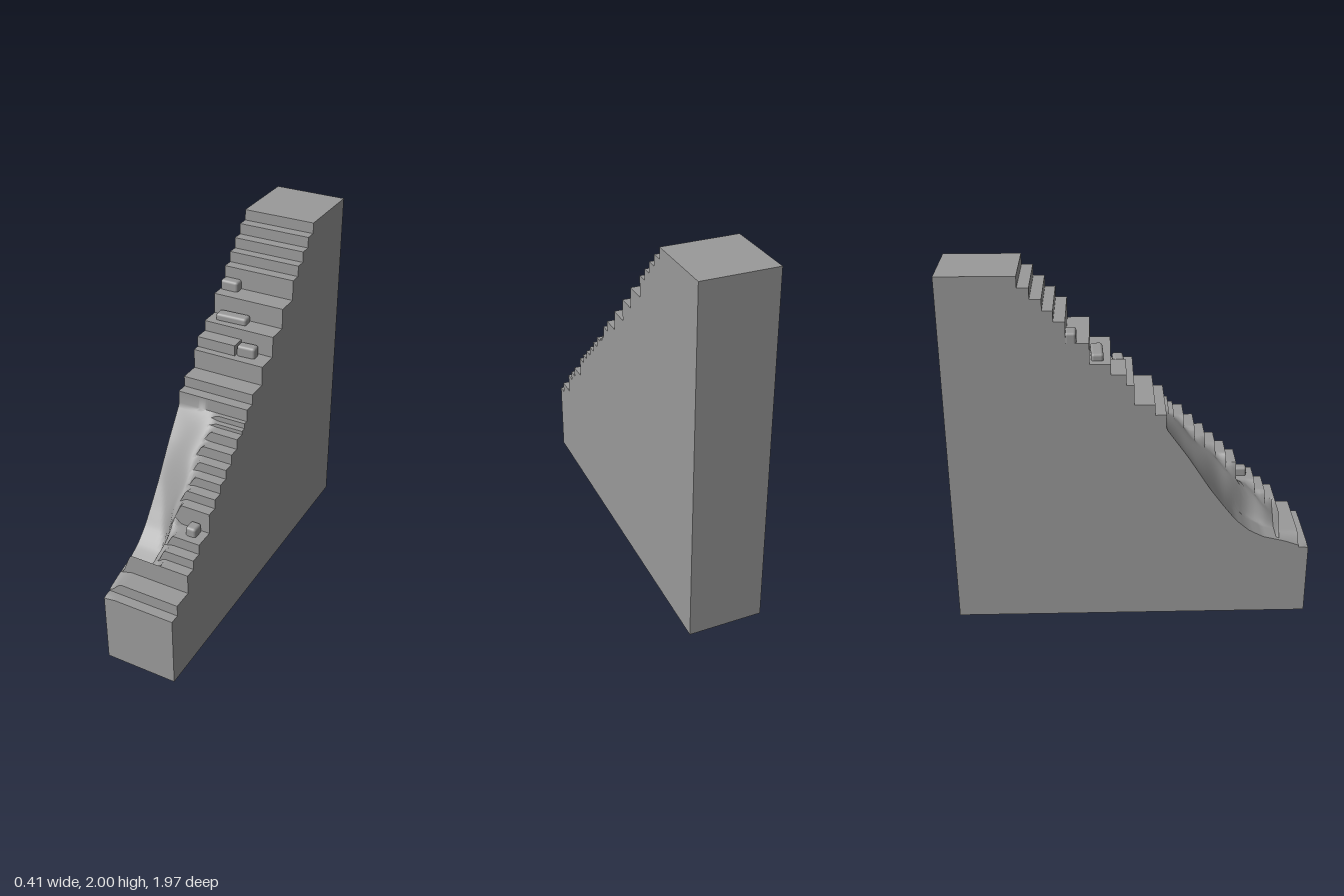
import * as THREE from 'three';
import { toCreasedNormals } from 'three/addons/utils/BufferGeometryUtils.js';
import { RoundedBoxGeometry } from 'three/addons/geometries/RoundedBoxGeometry.js';

const { lerp, smoothstep, clamp } = THREE.MathUtils;

// Each step as [z of its riser, height of its tread]
const STEPS = [
  [0.985, 0.42], [0.93, 0.485], [0.82, 0.6], [0.76, 0.655], [0.7, 0.715], [0.59, 0.835],
  [0.53, 0.89], [0.47, 0.945], [0.41, 1.0], [0.35, 1.06], [0.29, 1.12], [0.235, 1.14],
  [0.205, 1.17], [0.18, 1.24], [0.12, 1.3], [0.01, 1.41], [-0.03, 1.47], [-0.11, 1.53],
  [-0.22, 1.645], [-0.34, 1.76], [-0.4, 1.82], [-0.455, 1.88], [-0.515, 1.94], [-0.575, 2],
];
const BACK = -0.985;

// Worn slope along the right-hand edge, as [z, y] from back to front
const WORN = [
  [0.18, 1.16], [0.3, 0.99], [0.42, 0.8], [0.5, 0.69], [0.57, 0.6],
  [0.65, 0.53], [0.73, 0.49], [0.85, 0.46], [0.99, 0.41],
];

function wornHeight(z) {
  const k = clamp(WORN.findIndex((p) => p[0] >= z), 1, WORN.length - 1);
  const [a, b] = [WORN[k - 1], WORN[k]];
  return lerp(a[1], b[1], (z - a[0]) / (b[0] - a[0]));
}

// Height of a stair point after wear: hollow, then rubbed slope, then whole steps
function wornStep(x, y, z) {
  if (y === 1.47 && z > -0.12 && x > 0.02) return 1.41; // broken tread
  if (z < 0.181) return y;
  const worn = Math.min(wornHeight(z), y);
  if (z > 0.81) return lerp(worn, y, smoothstep(x, -0.2, -0.13));
  const ripple = 0.012 * Math.sin(z * 31);
  const rubbed = 1.36 - 1.03 * z + ripple / 2;
  const scarp = smoothstep(z, 0.4, 0.6);
  const slope = lerp(worn, rubbed, smoothstep(x, lerp(-0.2, -0.07, scarp) + ripple, ripple));
  return lerp(slope, y, smoothstep(x, ripple, 0.05 + ripple));
}

// Stair outline with treads cut into short runs so wear can shape them
function stairProfile() {
  const pts = [];
  STEPS.forEach(([z, y], i) => {
    const end = i + 1 < STEPS.length ? STEPS[i + 1][0] : BACK;
    const n = z > 0.19 ? 4 : 1;
    for (let k = 0; k <= n; k++) pts.push([lerp(z, end, k / n), y]);
  });
  return pts;
}

function stairGeometry() {
  const xs = [0.0195, 0.0205];
  for (let i = 0; i <= 32; i++) xs.push(lerp(-0.205, 0.205, i / 32));
  xs.sort((a, b) => a - b);
  const profile = stairProfile();
  const grid = profile.map(([z, y]) => xs.map((x) => new THREE.Vector3(x, wornStep(x, y, z), z)));
  const floor = (v) => new THREE.Vector3(v.x, 0, v.z);
  const rows = [grid[0].map(floor), ...grid, grid[grid.length - 1].map(floor)];

  const pos = [];
  const tri = (a, b, c) => {
    if (new THREE.Triangle(a, b, c).getArea() > 1e-9) [a, b, c].forEach((v) => pos.push(v.x, v.y, v.z));
  };
  const quad = (a, b, c, d) => { tri(a, b, c); tri(a, c, d); };

  // Front, treads, risers and back
  for (let i = 0; i + 1 < rows.length; i++) {
    for (let j = 0; j + 1 < xs.length; j++) {
      quad(rows[i][j], rows[i][j + 1], rows[i + 1][j + 1], rows[i + 1][j]);
    }
  }
  // Side walls
  const last = xs.length - 1;
  for (let i = 0; i + 1 < grid.length; i++) {
    const [l0, l1, r0, r1] = [grid[i][last], grid[i + 1][last], grid[i][0], grid[i + 1][0]];
    quad(floor(l0), floor(l1), l1, l0);
    quad(floor(r1), floor(r0), r0, r1);
  }
  // Underside
  const f = rows[0], b = rows[rows.length - 1];
  quad(f[0], b[0], b[last], f[last]);

  const geo = new THREE.BufferGeometry();
  geo.setAttribute('position', new THREE.Float32BufferAttribute(pos, 3));
  return toCreasedNormals(geo, 0.8);
}

export function createModel() {
  const group = new THREE.Group();
  group.name = 'wornStaircase';
  // Dark stone
  const mat = new THREE.MeshStandardMaterial({ color: 0x9a9a9a });

  const stairs = new THREE.Mesh(stairGeometry(), mat);
  stairs.name = 'stairs';
  group.add(stairs);

  // Broken stones resting on the treads: x, y, z ranges and turn
  const stones = [
    ['brokenStepEnd', -0.204, -0.1, 1.63, 1.7, -0.345, -0.285, 0],
    ['flatStone', -0.16, 0.02, 1.52, 1.568, -0.215, -0.15, 0.04],
    ['smallStone', 0.025, 0.13, 1.4, 1.47, -0.1, -0.04, 0.06],
    ['lowerStone', 0.1, 0.16, 0.7, 0.765, 0.59, 0.66, 0],
  ];
  for (const [name, x0, x1, y0, y1, z0, z1, turn] of stones) {
    const stone = new THREE.Mesh(new RoundedBoxGeometry(x1 - x0, y1 - y0, z1 - z0, 2, 0.015), mat);
    stone.position.set((x0 + x1) / 2, (y0 + y1) / 2, (z0 + z1) / 2);
    stone.rotation.y = turn;
    stone.name = name;
    group.add(stone);
  }
  return group;
}
